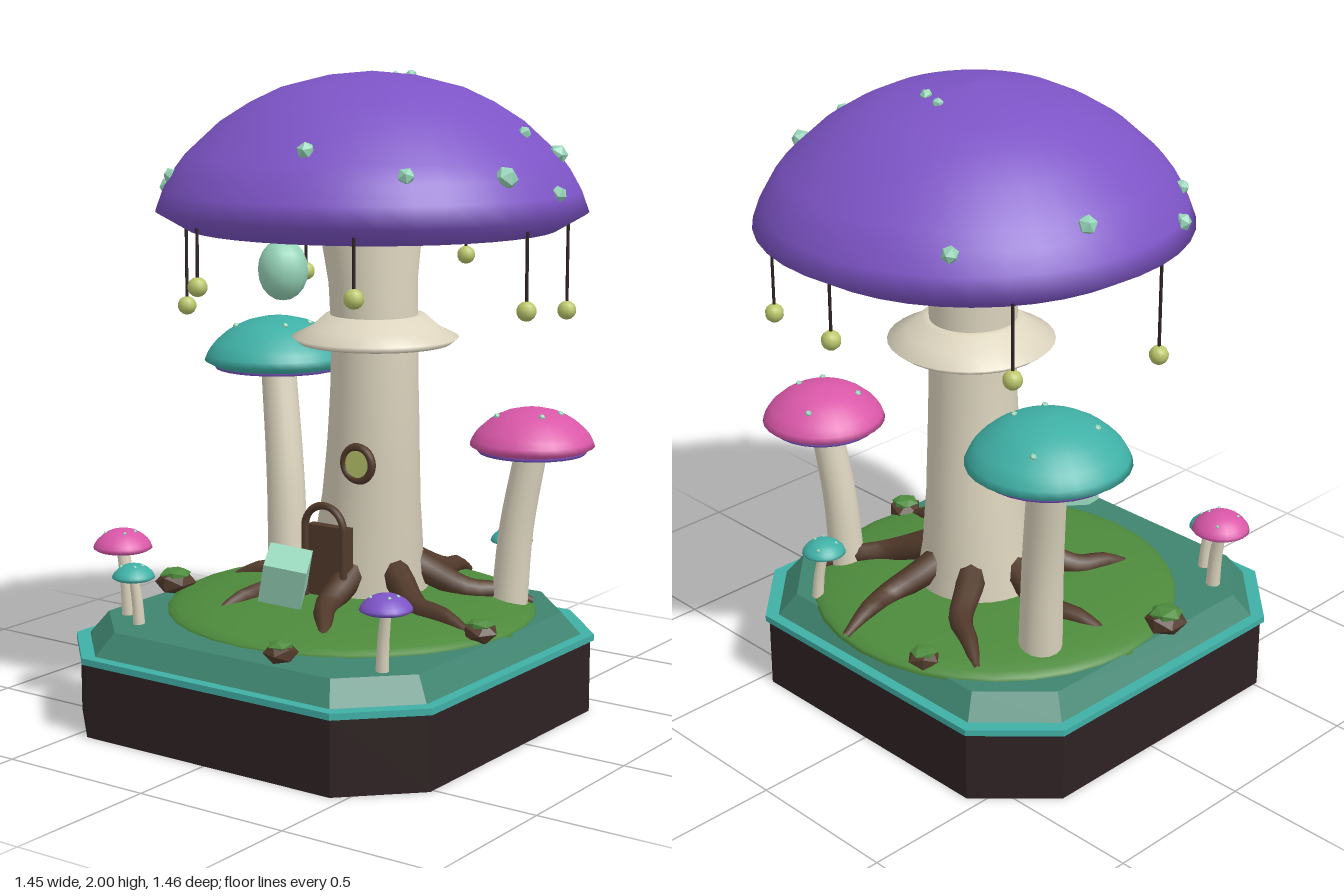
import * as THREE from 'three';

const mat = (name, color) => {
  const m = new THREE.MeshStandardMaterial({ color });
  m.name = name;
  return m;
};

export function createModel() {
  const M = {
    earth: mat('darkEarth', 0x2e2223), teal: mat('teal', 0x3fb0a6), deck: mat('deckGreen', 0x3f8470),
    grass: mat('grass', 0x4d8a3c), cream: mat('cream', 0xdcd4be), wood: mat('brownWood', 0x523a2b),
    purple: mat('purple', 0x7d54c6), pink: mat('pink', 0xd957a8), mint: mat('mint', 0x96d4b8),
    glow: mat('glowYellow', 0xbcc76c),
  };
  for (const m of [M.cream, M.wood, M.grass]) m.side = THREE.DoubleSide;
  const root = new THREE.Group();
  root.name = 'mushroomHouse';
  const V = (x, y, z) => new THREE.Vector3(x, y, z);
  const add = (name, geo, material, x = 0, y = 0, z = 0, parent = root) => {
    const m = new THREE.Mesh(geo, material);
    m.name = name;
    m.position.set(x, y, z);
    parent.add(m);
    return m;
  };

  // Square prism with cut corners, tapering from half-width h0 to h1
  const slab = (name, h0, h1, y0, y1, material) => {
    const c = h0 * 0.31, k = h0 - c, s = new THREE.Shape();
    [[k, -h0], [h0, -k], [h0, k], [k, h0], [-k, h0], [-h0, k], [-h0, -k], [-k, -h0]]
      .forEach(([x, y], i) => (i ? s.lineTo(x, y) : s.moveTo(x, y)));
    const g = new THREE.ExtrudeGeometry(s, { depth: y1 - y0, bevelEnabled: false });
    g.rotateX(-Math.PI / 2);
    const p = g.attributes.position;
    for (let i = 0; i < p.count; i++) {
      if (p.getY(i) > (y1 - y0) / 2) p.setXYZ(i, p.getX(i) * h1 / h0, p.getY(i), p.getZ(i) * h1 / h0);
    }
    g.computeVertexNormals();
    add(name, g, material, 0, y0, 0.06);
  };

  // Tube along a curve whose radius follows a list of values
  const taper = (name, points, radii, material, segs = 12, sides = 16, parent = root) => {
    const curve = new THREE.CatmullRomCurve3(points);
    const g = new THREE.TubeGeometry(curve, segs, 1, sides);
    const p = g.attributes.position, v = V(0, 0, 0);
    for (let i = 0; i <= segs; i++) {
      const c = curve.getPointAt(i / segs), t = (i / segs) * (radii.length - 1);
      const a = Math.min(Math.floor(t), radii.length - 2);
      const r = THREE.MathUtils.lerp(radii[a], radii[a + 1], t - a);
      for (let j = 0; j <= sides; j++) {
        const n = i * (sides + 1) + j;
        v.fromBufferAttribute(p, n).sub(c).multiplyScalar(r).add(c);
        p.setXYZ(n, v.x, v.y, v.z);
      }
    }
    return add(name, g, material, 0, 0, 0, parent);
  };

  // Cap: dome and underside share one unit profile
  const dome = [[0.86, 0.03], [1, 0.14], [0.965, 0.27], [0.915, 0.39], [0.86, 0.49], [0.7, 0.69],
    [0.56, 0.81], [0.42, 0.9], [0.2, 0.975], [0, 1]];
  const lathe = (pts, R, H, n) =>
    new THREE.LatheGeometry(pts.map(([r, y]) => new THREE.Vector2(r * R, y * H)), n);
  const cap = (name, x, y, z, R, H, material, n, parent = root) => {
    add(name + 'Dome', lathe(dome, R, H, n), material, x, y, z, parent);
    add(name + 'Underside', lathe([[0, 0], [0.5, 0.01], [0.86, 0.03]], R, H, n), material, x, y, z, parent);
  };
  // Height of the dome surface at a share r of its radius
  const domeY = (r) => {
    for (let i = 1; i < dome.length - 1; i++) {
      const [a, ya] = dome[i], [b, yb] = dome[i + 1];
      if (r <= a && r >= b) return ya + (yb - ya) * (a - r) / (a - b);
    }
    return 0.14;
  };
  const gem = (r) => {
    const g = new THREE.IcosahedronGeometry(r, 0);
    g.computeVertexNormals();
    return g;
  };

  // Base, rim, deck and grassy mound
  slab('base', 0.66, 0.66, 0, 0.23, M.earth);
  slab('rim', 0.67, 0.67, 0.23, 0.25, M.teal);
  slab('deck', 0.635, 0.585, 0.25, 0.32, M.deck);
  const mound = add('grassMound', new THREE.SphereGeometry(1, 32, 10, 0, Math.PI * 2, 0, Math.PI / 2),
    M.grass, 0, 0.315, -0.03);
  mound.scale.set(0.59, 0.075, 0.58);

  // Main trunk and its collar
  taper('trunk', [V(0.015, 0.33, -0.08), V(0.04, 0.6, -0.075), V(0.06, 0.9, -0.065), V(0.065, 1.2, -0.06), V(0.055, 1.53, -0.055)],
    [0.215, 0.175, 0.155, 0.145, 0.138, 0.135, 0.138, 0.16], M.cream, 21, 32);
  add('collar', lathe([[0.13, 0], [0.235, 0], [0.26, 0.02], [0.2, 0.05], [0.155, 0.09], [0.13, 0.09]], 1, 1, 32),
    M.cream, 0.063, 1.165, -0.068);

  // Main cap with mint spots
  const cx = 0.055, cz = -0.06, R = 0.665;
  cap('mainCap', cx, 1.51, cz, R, 0.49, M.purple, 40);
  [[0.575, -0.29, 0.032], [0.54, -0.15, 0.022], [0.69, -0.1, 0.026], [0.635, 0.105, 0.037], [0.467, 0.366, 0.027],
    [0.183, 0.455, 0.028], [-0.405, 0.35, 0.024], [-0.52, 0.226, 0.028], [-0.515, -0.175, 0.031],
    [-0.335, -0.53, 0.027], [0.027, -0.23, 0.018], [0.097, -0.21, 0.02]].forEach(([x, z, r], i) => {
    const s = add('capSpot', gem(r), M.mint, x, 1.51 + 0.49 * domeY(Math.hypot(x - cx, z - cz) / R), z);
    s.rotation.set(i, i * 1.7, 0);
  });

  // Hanging lanterns around the rim
  [1.32, 1.38, 1.38, 1.255, 1.32, 1.38, 1.255].forEach((y, i) => {
    const a = THREE.MathUtils.degToRad(8.5 + i * 360 / 7);
    const x = cx + 0.617 * Math.cos(a), z = cz + 0.617 * Math.sin(a), len = 1.56 - y;
    add('lanternString', new THREE.CylinderGeometry(0.005, 0.005, len, 6), M.earth, x, y + len / 2, z);
    add('lanternBead', new THREE.SphereGeometry(0.03, 10, 7), M.glow, x, y, z);
  });

  // Spreading roots
  for (let i = 0; i < 7; i++) {
    const a = THREE.MathUtils.degToRad(22 + i * 360 / 7);
    const at = (r, y, bend) => V(0.03 + r * Math.cos(a + bend), y, -0.08 + r * Math.sin(a + bend));
    taper('root', [at(0.11, 0.48, 0), at(0.2, 0.435, 0.06), at(0.32, 0.385, 0.1), at(0.42, 0.375, 0), at(0.52, 0.335, -0.06)],
      [0.05, 0.045, 0.038, 0.028, 0.012], M.wood, 12, 8);
  }

  // Door with arched frame
  add('door', new THREE.BoxGeometry(0.15, 0.27, 0.035), M.wood, 0.02, 0.475, 0.115);
  add('doorArch', new THREE.TorusGeometry(0.073, 0.012, 8, 20, Math.PI), M.wood, 0.02, 0.605, 0.145);
  for (const s of [-1, 1]) {
    add('doorPost', new THREE.CylinderGeometry(0.012, 0.012, 0.25, 8), M.wood, 0.02 + s * 0.073, 0.48, 0.145);
  }

  // Round window
  add('windowFrame', new THREE.TorusGeometry(0.052, 0.013, 8, 24), M.wood, 0.105, 0.81, 0.085);
  const pane = add('windowPane', new THREE.CylinderGeometry(0.052, 0.052, 0.03, 24), M.glow, 0.105, 0.81, 0.078);
  pane.rotation.x = Math.PI / 2;

  // Floating crystal cube and hanging pod
  const cube = add('crystalCube', new THREE.BoxGeometry(0.13, 0.13, 0.13), M.mint, 0.055, 0.513, 0.39);
  cube.rotation.set(0.35, 0.45, -0.35);
  add('pod', new THREE.SphereGeometry(0.075, 14, 10), M.mint, 0.055, 1.435, 0.395).scale.y = 1.2;

  // Smaller mushrooms: cap centre, underside height, size, stem foot and stem radii
  const mushroom = (name, [x, y, z], r, h, [fx, fz], [r0, r1], material, big) => {
    const g = new THREE.Group();
    g.name = name;
    root.add(g);
    cap('cap', x, y, z, r, h, material, big ? 28 : 20, g);
    const fy = 0.325, mid = 0.5;
    taper('stem', [V(fx, fy, fz), V(fx + (x - fx) * 0.3, fy + (y - fy) * mid, fz + (z - fz) * 0.3), V(x, y + h * 0.1, z)],
      [r0, (r0 + r1) / 2, r1], M.cream, 10, big ? 16 : 10, g);
    if (big) {
      const ring = add('gillRing', new THREE.TorusGeometry(r * 0.83, 0.012, 6, 28), M.purple, x, y + h * 0.05, z, g);
      ring.rotation.x = Math.PI / 2;
    }
    for (let i = 0; i < 4; i++) {
      const a = 0.7 + i * 1.75, q = 0.45 + 0.12 * (i % 3);
      add('spot', gem(big ? 0.011 : 0.006), M.mint, x + r * q * Math.cos(a), y + h * domeY(q), z + r * q * Math.sin(a), g);
    }
  };
  mushroom('tallTealMushroom', [-0.485, 1.01, -0.29], 0.245, 0.17, [-0.4, -0.23], [0.068, 0.058], M.teal, true);
  mushroom('pinkMushroom', [0.485, 0.83, -0.317], 0.195, 0.137, [0.425, -0.29], [0.058, 0.05], M.pink, true);
  mushroom('smallPinkMushroom', [-0.52, 0.525, 0.467], 0.092, 0.07, [-0.495, 0.47], [0.024, 0.02], M.pink);
  mushroom('smallTealMushroom', [-0.41, 0.465, 0.545], 0.066, 0.05, [-0.4, 0.535], [0.019, 0.015], M.teal);
  mushroom('smallPurpleMushroom', [0.51, 0.503, 0.52], 0.078, 0.055, [0.49, 0.51], [0.02, 0.016], M.purple);
  mushroom('backTealMushroom', [0.32, 0.482, -0.475], 0.069, 0.05, [0.34, -0.49], [0.019, 0.015], M.teal);

  // Mossy rocks
  [[-0.57, 0.155, 0.068], [0.195, 0.6, 0.053], [0.55, 0.08, 0.058], [-0.2, -0.53, 0.052]].forEach(([x, z, r], i) => {
    const rock = add('rock', gem(r), M.wood, x, 0.35, z);
    rock.scale.y = 0.65;
    rock.rotation.y = i * 1.3;
    const moss = add('moss', gem(r * 0.8), M.grass, x, 0.353 + r * 0.35, z);
    moss.scale.y = 0.4;
    moss.rotation.y = i * 1.3 + 0.5;
  });

  return root;
}
